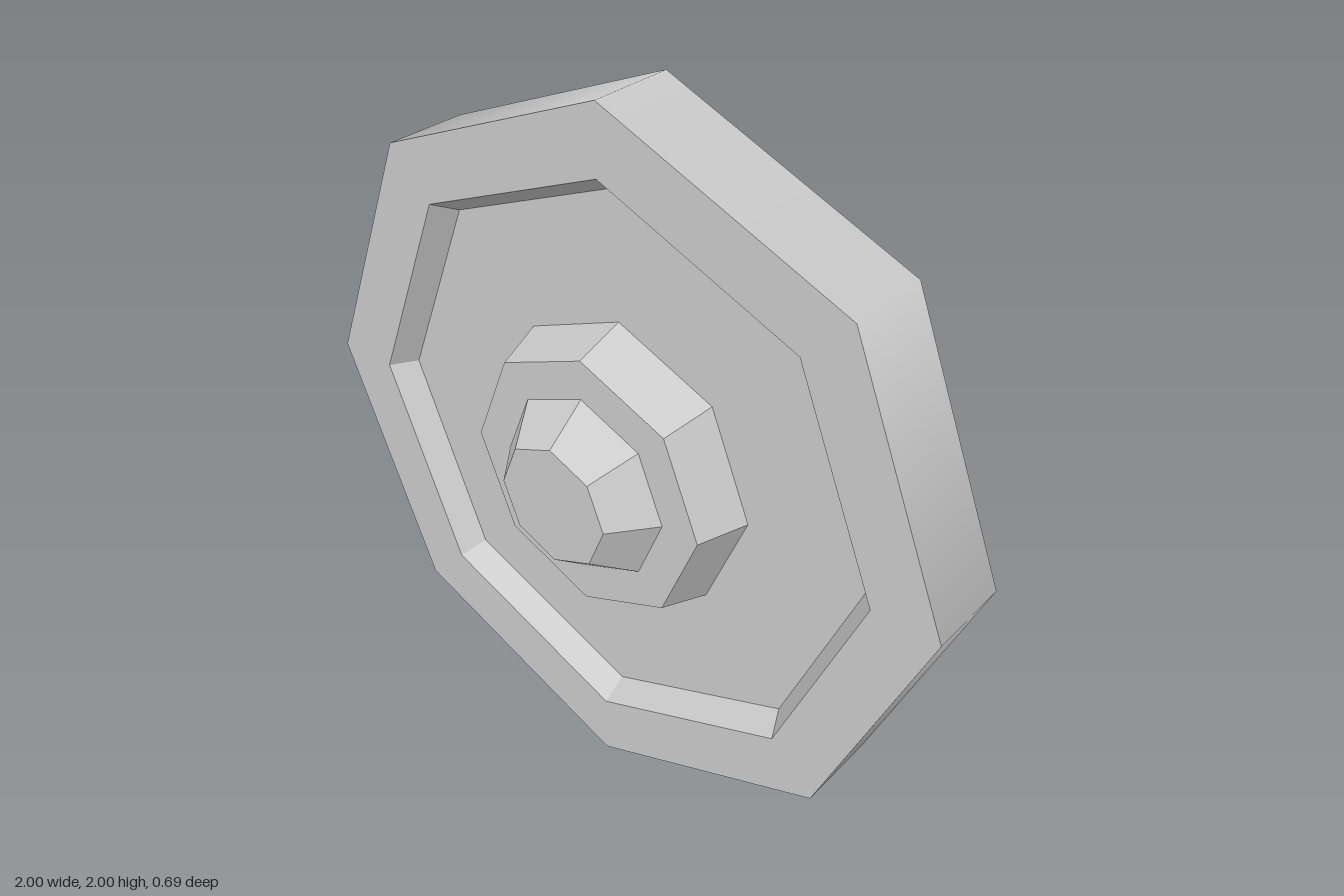
import * as THREE from 'three';

const SIDES = 8;
const flat = new THREE.MeshStandardMaterial({ color: 0xcccccc, flatShading: true });
const smooth = new THREE.MeshStandardMaterial({ color: 0xcccccc });

function addMesh(group, name, geometry, material = flat) {
  const mesh = new THREE.Mesh(geometry, material);
  mesh.name = name;
  group.add(mesh);
  return mesh;
}

// Eight-sided turned part; the profile is [radius, z] pairs.
function turned(profile) {
  const points = profile.map(([r, z]) => new THREE.Vector2(r, z));
  return new THREE.LatheGeometry(points, SIDES).rotateX(Math.PI / 2);
}

export function createModel() {
  const shield = new THREE.Group();
  shield.name = 'shield';
  const body = new THREE.Group();
  body.name = 'body';
  body.position.y = 1;
  shield.add(body);

  const front = 0.16, back = -0.085;            // rim faces
  const frontFloor = 0.088, backFloor = -0.012; // recessed panels

  // Smooth-shaded outer edge
  const edge = new THREE.CylinderGeometry(1, 1, front - back, SIDES, 1, true);
  edge.rotateX(Math.PI / 2).translate(0, 0, (front + back) / 2);
  addMesh(body, 'outerEdge', edge, smooth);

  // Rim faces, bevelled recess walls and panels
  addMesh(body, 'frontPanel', turned([
    [1, front], [0.815, front], [0.77, frontFloor], [0, frontFloor],
  ]));
  addMesh(body, 'backPanel', turned([
    [0, backFloor], [0.77, backFloor], [0.815, back], [1, back],
  ]));

  // Stepped central boss
  addMesh(body, 'bossBase', turned([
    [0.415, frontFloor], [0.37, 0.23], [0.26, 0.23],
  ]));
  addMesh(body, 'bossCap', turned([[0.26, 0.23], [0.17, 0.345], [0, 0.345]]));

  // Angled grip on the back: [distance behind, height] outline, mirrored
  const outer = [[-backFloor, 0.46], [0.345, 0.277]];
  const inner = [[0.255, 0.226], [-backFloor, 0.375]];
  const upper = [...inner.reverse(), ...outer.reverse()]; // inner base to outer corner
  const [innerBase, innerCorner, outerCorner, outerBase] =
    [upper[0], upper[1], upper[2], upper[3]];
  const half = [outerBase, outerCorner];
  const hole = [innerCorner, innerBase];
  const flip = ([d, h]) => [d, -h];
  const outline = [
    ...half, ...[...half].reverse().map(flip),
    ...[...hole].reverse().map(flip), ...hole,
  ].map(([d, h]) => new THREE.Vector2(d, h));
  const grip = new THREE.ExtrudeGeometry(new THREE.Shape(outline), {
    depth: 0.25, bevelEnabled: false,
  });
  grip.translate(0, 0, -0.125).rotateY(Math.PI / 2);
  addMesh(body, 'grip', grip).position.y = -0.03;

  return shield;
}
